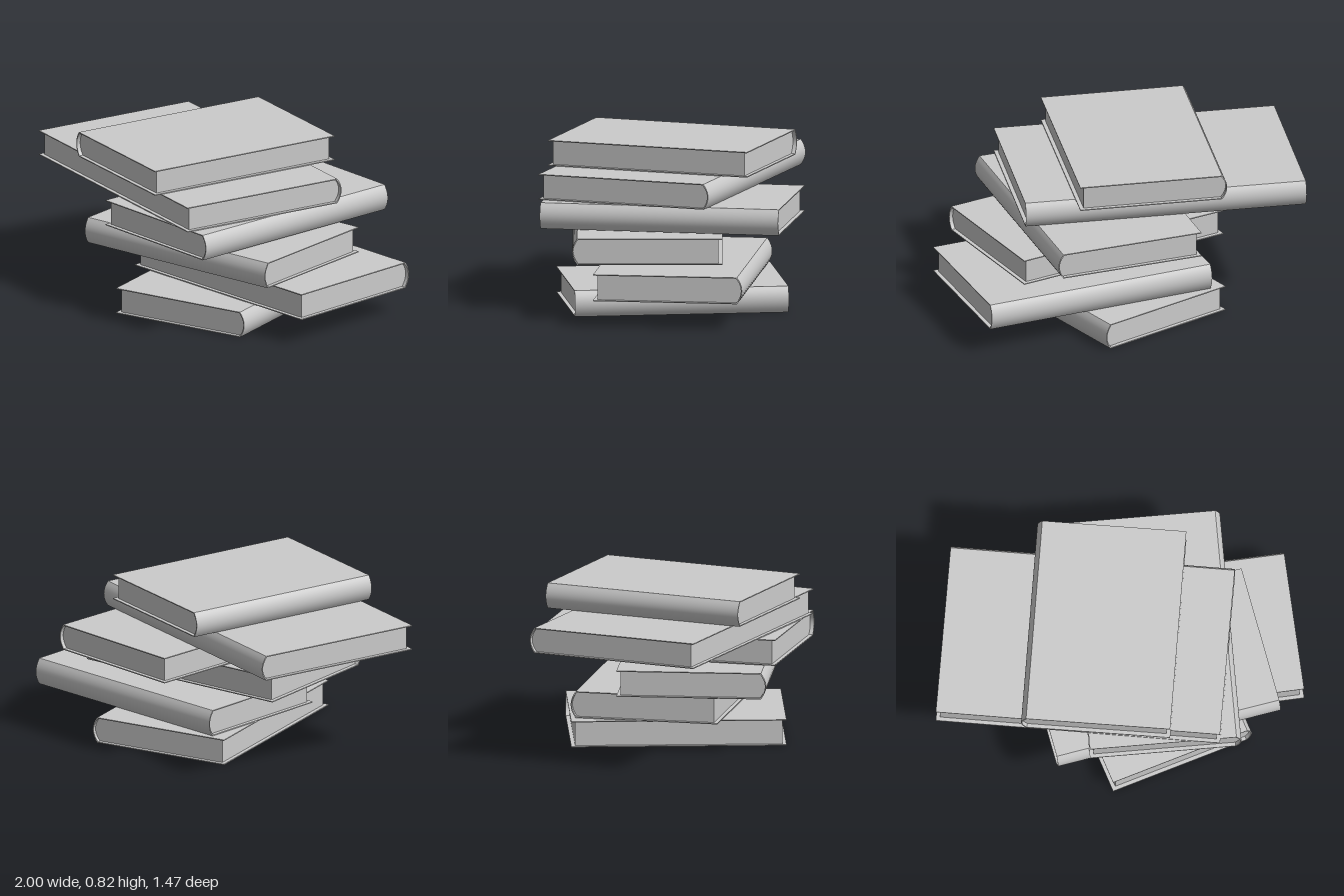
import * as THREE from 'three';
import { toCreasedNormals } from 'three/addons/utils/BufferGeometryUtils.js';

const material = new THREE.MeshStandardMaterial({ color: 0xcccccc });
const BULGE = 0.025;   // how far the spine rounds out past the boards
const BOARD = 0.005;   // cover thickness
const OVERHANG = 0.02; // cover beyond the page block

// width, length, bottom, top, centre x, centre z, turn in degrees (spine lies on local -x)
const books = [
  [0.745, 1.08, 0.0, 0.133, 0.128, 0.025, 180],
  [0.745, 1.2, 0.134, 0.269, 0.325, 0.003, -104.5],
  [0.745, 1.155, 0.292, 0.425, 0.125, 0.148, 82.7],
  [0.755, 1.214, 0.431, 0.563, 0.197, 0.035, 162.7],
  [0.897, 1.43, 0.563, 0.692, -0.16, -0.005, -117.2],
  [0.742, 1.059, 0.693, 0.822, -0.06, 0.003, -26.8],
];

function extrudeAlongZ(shape, length, name) {
  const geometry = new THREE.ExtrudeGeometry(shape, { depth: length, bevelEnabled: false, curveSegments: 10 });
  geometry.translate(0, 0, -length / 2);
  const mesh = new THREE.Mesh(toCreasedNormals(geometry, 0.45), material);
  mesh.name = name;
  return mesh;
}

function makeBook(width, length, height) {
  const book = new THREE.Group();
  const fore = width / 2;
  const hinge = -width / 2 + BULGE * 0.7;
  const low = BOARD, high = height - BOARD, mid = height / 2;
  const inner = hinge + BOARD;

  // Two boards joined by a rounded spine, as one C-shaped section
  const cover = new THREE.Shape();
  cover.moveTo(hinge, 0);
  cover.lineTo(fore, 0);
  cover.lineTo(fore, low);
  cover.lineTo(inner, low);
  cover.quadraticCurveTo(inner - 2 * BULGE, mid, inner, high);
  cover.lineTo(fore, high);
  cover.lineTo(fore, height);
  cover.lineTo(hinge, height);
  cover.quadraticCurveTo(hinge - 2 * BULGE, mid, hinge, 0);
  book.add(extrudeAlongZ(cover, length, 'cover'));

  // Page block, rounded into the spine
  const pages = new THREE.Shape();
  pages.moveTo(inner, low);
  pages.lineTo(fore - OVERHANG, low);
  pages.lineTo(fore - OVERHANG, high);
  pages.lineTo(inner, high);
  pages.quadraticCurveTo(inner - 2 * BULGE, mid, inner, low);
  book.add(extrudeAlongZ(pages, length - 2 * OVERHANG, 'pages'));
  return book;
}

export function createModel() {
  const stack = new THREE.Group();
  stack.name = 'bookStack';
  books.forEach(([width, length, bottom, top, x, z, turn], i) => {
    const book = makeBook(width, length, top - bottom);
    book.name = `book${i + 1}`;
    book.position.set(x, bottom, z);
    book.rotation.y = THREE.MathUtils.degToRad(turn);
    stack.add(book);
  });
  return stack;
}
